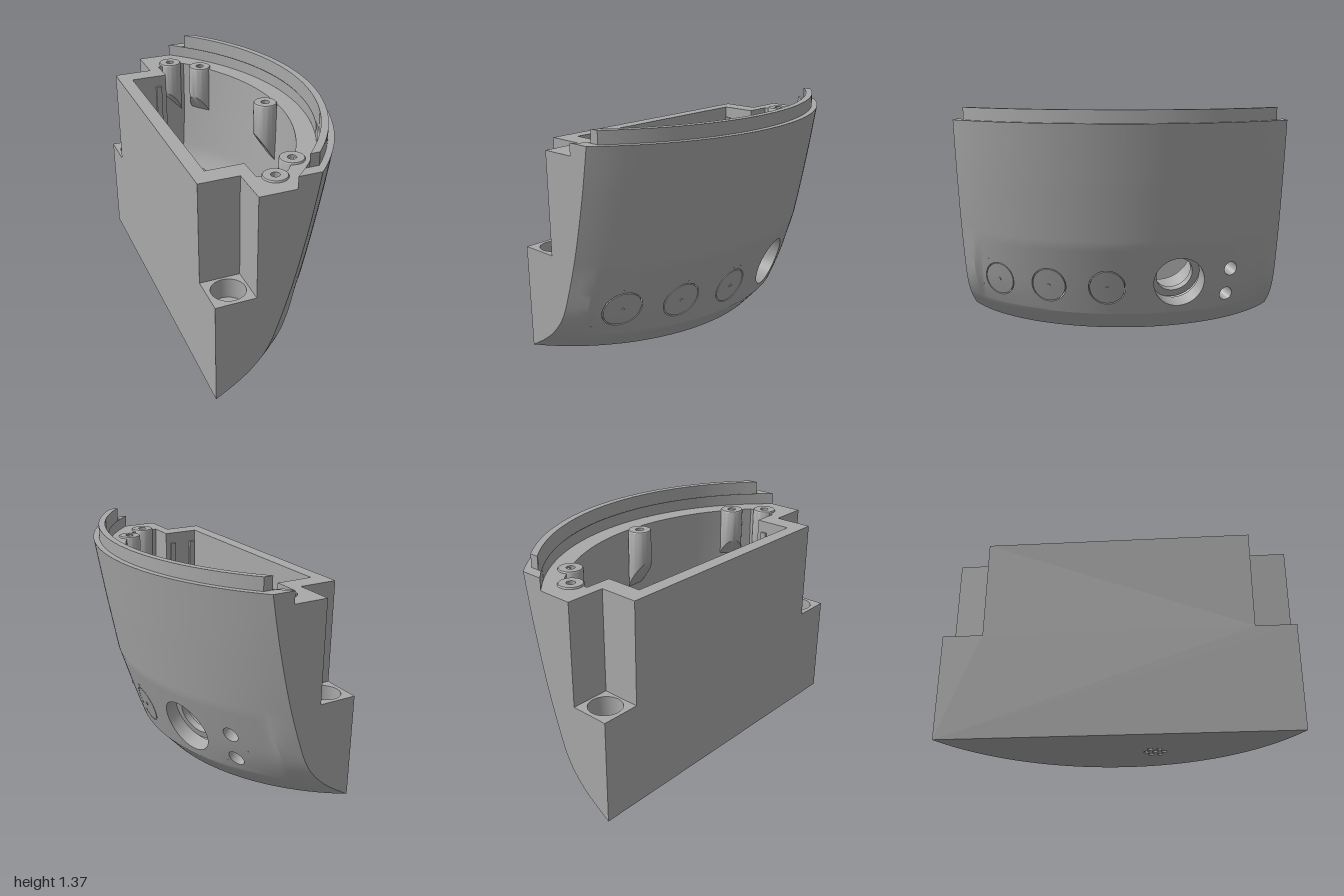
import * as THREE from 'three';
import { toCreasedNormals } from 'three/addons/utils/BufferGeometryUtils.js';

const V = (x, y, z) => new THREE.Vector3(x, y, z);
const range = (a, b, n) => Array.from({ length: n + 1 }, (_, i) => a + (b - a) * i / n);
const sorted = (list) => [...new Set(list.map((v) => +v.toFixed(4)))].sort((a, b) => a - b);

// Side profiles of the curved front: at its ends and at its middle, as (x, y)
const endLine = new THREE.SplineCurve([[-0.49, 0], [-0.37, 0.076], [-0.28, 0.15], [-0.2, 0.25], [-0.14, 0.39],
  [-0.05, 0.68], [0.03, 1.02], [0.08, 1.29]].map((p) => new THREE.Vector2(...p))).getPoints(100);
const midLine = [[0.083, 0], [0.195, 0.12], [0.35, 0.57], [0.425, 0.95], [0.488, 1.29]].map((p) => new THREE.Vector2(...p));
function lookup(line, y) {
  let i = 1;
  while (i < line.length - 1 && line[i].y < y) i++;
  const a = line[i - 1], b = line[i];
  return a.x + (b.x - a.x) * (y - a.y) / (b.y - a.y);
}
// Arc through both profiles at height y, moved inward by off
function arcX(z, y, off = 0) {
  const m = lookup(midLine, y), s = m - lookup(endLine, y), R = (1 + s * s) / (2 * s);
  return m - R + Math.sqrt((R - off) ** 2 - z * z);
}
// Outer skin, with the shallow control panel standing in from its raised ends
function outer(z, y) {
  const a = Math.abs(z);
  const win = y > 0.12 && y < 0.58 ? Math.sin(Math.PI * (y - 0.12) / 0.46) : 0;
  const ramp = THREE.MathUtils.smoothstep(a, 0.87, 0.92) * THREE.MathUtils.clamp((1 - a) / 0.08, 0, 1);
  return V(arcX(z, y) + 0.02 * win * ramp, y, z);
}
const inner = (z, y) => V(arcX(z, y, 0.1 + 0.09 * THREE.MathUtils.clamp((y - 0.6) / 0.62, 0, 1)), y, z);

const FLOOR = 0.06, TOP = 1.22, RIM = 1.29, ZC = 0.81, IN = 0.93, LIFT = 0.03;
// Openings in the front wall: centre, radius and surrounding patch
const openings = [
  ...[0.75, 0.43, 0.075].map((z) => ({ kind: 'button', z, y: 0.3, r: 0.112, rect: [z - 0.12, z + 0.12, 0.17, 0.43] })),
  { kind: 'lens', z: -0.36, y: 0.325, r: 0.16, rect: [-0.56, -0.16, 0.13, 0.5] },
  { kind: 'port', z: -0.68, y: 0.385, r: 0.045, rect: [-0.75, -0.6, 0.3, 0.46] },
  { kind: 'port', z: -0.66, y: 0.212, r: 0.045, rect: [-0.75, -0.6, 0.13, 0.3] },
];
const innerOpenings = openings.map((o) => ({ ...o, z: o.z * IN, y: o.y + LIFT,
  rect: [o.rect[0] * IN, o.rect[1] * IN, o.rect[2] + LIFT, o.rect[3] + LIFT] }));

function fromTriangles(points, crease = 0.35) {
  const g = new THREE.BufferGeometry().setFromPoints(points);
  g.computeVertexNormals();
  return toCreasedNormals(g, crease);
}
function addQuads(out, rows) {
  for (let i = 0; i + 1 < rows.length; i++) for (let j = 0; j + 1 < rows[i].length; j++) {
    const a = rows[i][j], b = rows[i][j + 1], c = rows[i + 1][j + 1], d = rows[i + 1][j];
    out.push(a, b, c, a, c, d);
  }
  return out;
}
const loft = (rows, crease) => fromTriangles(addQuads([], rows), crease);

// Round edge of an opening on a surface, one point per patch border point
function border(o) {
  const [z0, z1, y0, y1] = o.rect, c = [[z0, y0], [z1, y0], [z1, y1], [z0, y1]], pts = [];
  for (let k = 0; k < 4; k++) for (let i = 0; i < 10; i++) {
    const a = c[k], b = c[(k + 1) % 4];
    pts.push([a[0] + (b[0] - a[0]) * i / 10, a[1] + (b[1] - a[1]) * i / 10]);
  }
  return [...pts, pts[0]];
}
function ring(S, o, t, r = o.r) {
  const squash = Math.sqrt(1 - (o.z / 1.437) ** 2);
  return border(o).map(([z, y]) => {
    const l = Math.hypot(z - o.z, y - o.y), cz = o.z + (z - o.z) / l * r * squash, cy = o.y + (y - o.y) / l * r;
    return S(cz + (z - cz) * t, cy + (y - cy) * t);
  });
}
// Curved wall as a grid, with a round patch around each opening
function wall(S, zs, ys, holes) {
  const out = [];
  for (let i = 0; i + 1 < zs.length; i++) for (let j = 0; j + 1 < ys.length; j++) {
    const z = (zs[i] + zs[i + 1]) / 2, y = (ys[j] + ys[j + 1]) / 2;
    if (holes.some(({ rect: q }) => z > q[0] && z < q[1] && y > q[2] && y < q[3])) continue;
    addQuads(out, [[S(zs[i], ys[j]), S(zs[i], ys[j + 1])], [S(zs[i + 1], ys[j]), S(zs[i + 1], ys[j + 1])]]);
  }
  for (const o of holes) addQuads(out, [0, 0.33, 0.66, 1].map((t) => ring(S, o, t)));
  return fromTriangles(out);
}
// Flat face from an outline with holes, placed by a mapping
function face(outline, holes, map) {
  const shape = new THREE.Shape(outline.map((p) => new THREE.Vector2(...p)));
  shape.holes = holes.map((h) => new THREE.Path(h.map((p) => new THREE.Vector2(...p))));
  const g = new THREE.ShapeGeometry(shape), p = g.attributes.position;
  for (let i = 0; i < p.count; i++) p.setXYZ(i, ...map(p.getX(i), p.getY(i)));
  g.computeVertexNormals();
  return g;
}
const circle = (x, z, r, n = 24) => range(0, Math.PI * 2, n).slice(0, n).map((a) => [x + r * Math.cos(a), z + r * Math.sin(a)]);
const lathe = (pts, n = 40) => toCreasedNormals(new THREE.LatheGeometry(pts.map((p) => new THREE.Vector2(...p)), n), 0.6);

export function createModel() {
  const group = new THREE.Group();
  const grey = new THREE.MeshStandardMaterial({ color: 0xa9a9a9, side: THREE.DoubleSide });
  grey.name = 'plainGrey';
  const add = (name, geometry, x = 0, y = 0, z = 0) => {
    const m = new THREE.Mesh(geometry, grey);
    m.name = name;
    m.position.set(x, y, z);
    group.add(m);
    return m;
  };
  const level = (y) => (x, z) => [x, y, z];

  // Curved front wall, outside and inside
  const zs = sorted([...range(-1, 1, 50), ...openings.flatMap((o) => o.rect.slice(0, 2)), -0.9, -0.87, 0.9, 0.87]);
  const ys = sorted([...range(0, RIM, 43), 0.12, 0.57, ...openings.flatMap((o) => o.rect.slice(2))]);
  const zi = sorted([...range(-ZC, ZC, 36), ...innerOpenings.flatMap((o) => o.rect.slice(0, 2))].filter((z) => Math.abs(z) <= ZC));
  const yi = sorted([...range(FLOOR, TOP, 24), ...innerOpenings.flatMap((o) => o.rect.slice(2))]);
  add('frontWallOutside', wall(outer, zs, ys, openings));
  add('frontWallInside', wall(inner, zi, yi, innerOpenings));

  // Bores, buttons and the tubes behind the openings
  openings.forEach((o, i) => {
    const n = innerOpenings[i], c = inner(n.z, n.y), into = c.clone().sub(outer(o.z, o.y)).normalize();
    add(o.kind + 'Bore', loft([ring(outer, o, 0), ring(inner, n, 0)]));
    if (o.kind === 'button') {
      const front = [0.001, 0.05, 0.106].map((r) => ring(outer, o, 0, r));
      const back = front.map((row) => row.map((p) => p.clone().addScaledVector(into, 0.03))).reverse();
      add('button', loft([...front, ...back], 0.6));
      const dot = add('buttonDot', new THREE.CylinderGeometry(0.01, 0.01, 0.008, 16));
      dot.position.copy(outer(o.z, o.y));
      dot.quaternion.setFromUnitVectors(V(0, 1, 0), into);
      return;
    }
    const tube = add(o.kind + 'Tube', lathe(o.kind === 'lens'
      ? [[0.162, 0], [0.115, 0], [0.115, 0.04], [0.175, 0.04], [0.175, 0.22], [0.2, 0.22], [0.2, -0.05]]
      : [[0.045, -0.02], [0.045, 0.15], [0.08, 0.15], [0.08, -0.04]]));
    tube.position.copy(c);
    tube.quaternion.setFromUnitVectors(V(0, 1, 0), into);
  });

  // Cavity: stepped side walls, floor and sound holes
  const sides = (y) => {
    const x = inner(ZC, y).x, s = Math.min(-0.19, x - 0.01);
    return [[x, ZC], [s, ZC], [s, 0.655], [-0.41, 0.655], [-0.41, -0.655], [s, -0.655], [s, -ZC], [x, -ZC]];
  };
  const cavity = (y) => [...zi.slice(1, -1).map((z) => [inner(z, y).x, z]), ...sides(y)];
  add('cavityWalls', loft(yi.map((y) => sides(y).map(([x, z]) => V(x, y, z)))));
  const sound = [[-0.19, 0.19], ...circle(-0.19, 0.19, 0.05, 6).map(([x, z]) => [-0.19 + (z - 0.19), 0.19 + (x + 0.19)])];
  const soundHoles = sound.map(([x, z]) => circle(x, z, 0.016, 14));
  add('cavityFloor', face(cavity(FLOOR), soundHoles, level(FLOOR)));
  add('bottom', face(zs.map((z) => [arcX(z, 0), z]), soundHoles, level(0)));
  for (const [x, z] of sound) add('soundHole', new THREE.CylinderGeometry(0.016, 0.016, FLOOR, 14, 1, true), x, FLOOR / 2, z);
  add('speakerRing', lathe([[0.215, 0], [0.215, 0.04], [0.24, 0.04], [0.24, 0.015], [0.28, 0.015], [0.28, 0]], 48), -0.19, FLOOR, 0.19);
  add('speakerKey', new THREE.BoxGeometry(0.08, 0.045, 0.07), -0.19, FLOOR + 0.02, -0.06);

  // Back wall and end faces
  add('back', face([[-1, 0], [1, 0], [1, 0.62], [0.77, 0.62], [0.77, TOP], [-0.77, TOP], [-0.77, 0.62], [-1, 0.62]], [],
    (z, y) => [-0.49, y, z]));
  const endOutline = [...ys.map((y) => [arcX(1, y), y]), [arcX(1, RIM, 0.092), RIM], [arcX(1, RIM, 0.092), TOP],
    [-0.26, TOP], [-0.26, 0.62], [-0.49, 0.62]];

  // Top ledge with the cavity opening
  const bosses = [[0.22, 0], [0.06, 0.7], [0.06, -0.7], [-0.1, 0.84], [-0.1, -0.84]];
  add('topLedge', face([[-0.49, -0.77], [-0.26, -0.77], [-0.26, -1], ...range(-1, 1, 50).map((z) => [arcX(z, RIM, 0.092), z]),
    [-0.26, 1], [-0.26, 0.77], [-0.49, 0.77]],
  [cavity(TOP), ...bosses.slice(3).map(([x, z]) => circle(x, z, 0.025, 20))], level(TOP)));

  // Rim, raised lip and groove swept along the top arc
  const sweep = (profile, a, b, n) => loft(range(a, b, n).map((z) => profile.map(([o, y]) => V(arcX(z, RIM, o), y, z))));
  add('rimAndLip', sweep([[0, RIM], [0.035, RIM], [0.035, 1.365], [0.075, 1.365], [0.075, 1.25], [0.09, 1.25],
    [0.09, RIM], [0.092, RIM], [0.092, TOP]], -0.935, 0.935, 50));

  for (const s of [-1, 1]) {
    add('endFace', face(endOutline, [], (x, y) => [x, y, s]));
    add('rimEnd', sweep([[0, RIM], [0.092, RIM], [0.092, TOP]], s * 0.935, s, 3));
    add('lipEnd', loft([0.035, 0.075].map((o) => [1.25, 1.365].map((y) => V(arcX(0.935, RIM, o), y, s * 0.935)))));
    // Corner notch with its counterbored screw seat
    add('notchWalls', loft([0.62, TOP].map((y) => [V(-0.49, y, s * 0.77), V(-0.26, y, s * 0.77), V(-0.26, y, s)])));
    add('notchLedge', face([[-0.49, s * 0.77], [-0.26, s * 0.77], [-0.26, s], [-0.49, s]],
      [circle(-0.37, s * 0.88, 0.095, 40)], level(0.62)));
    add('screwSeat', lathe([[0.095, 0.62], [0.095, 0.5], [0.035, 0.5], [0.035, 0.06], [0, 0.06]]), -0.37, 0, s * 0.88);
    // Guide ribs at the ends of the cavity
    for (const x of [-0.385, -0.24]) add('guideRib', new THREE.BoxGeometry(0.035, 0.9, 0.02), x, 0.7, s * 0.65);
  }

  // Screw bosses with undersides sloping down into the wall
  for (const [x, z] of bosses) {
    const g = new THREE.LatheGeometry([[0.025, -0.12], [0.025, 0], [0.066, 0], [0.07, -0.006], [0.07, -0.3], [0, -0.3]]
      .map((p) => new THREE.Vector2(...p)), 28);
    const p = g.attributes.position, out = V(x + 0.94, 0, z).normalize();
    for (let i = 0; i < p.count; i++) if (p.getY(i) < -0.2) {
      p.setY(i, -0.3 - 1.5 * (p.getX(i) * out.x + p.getZ(i) * out.z));
    }
    add('screwBoss', toCreasedNormals(g, 0.6), x, 1.23, z);
  }
  return group;
}
